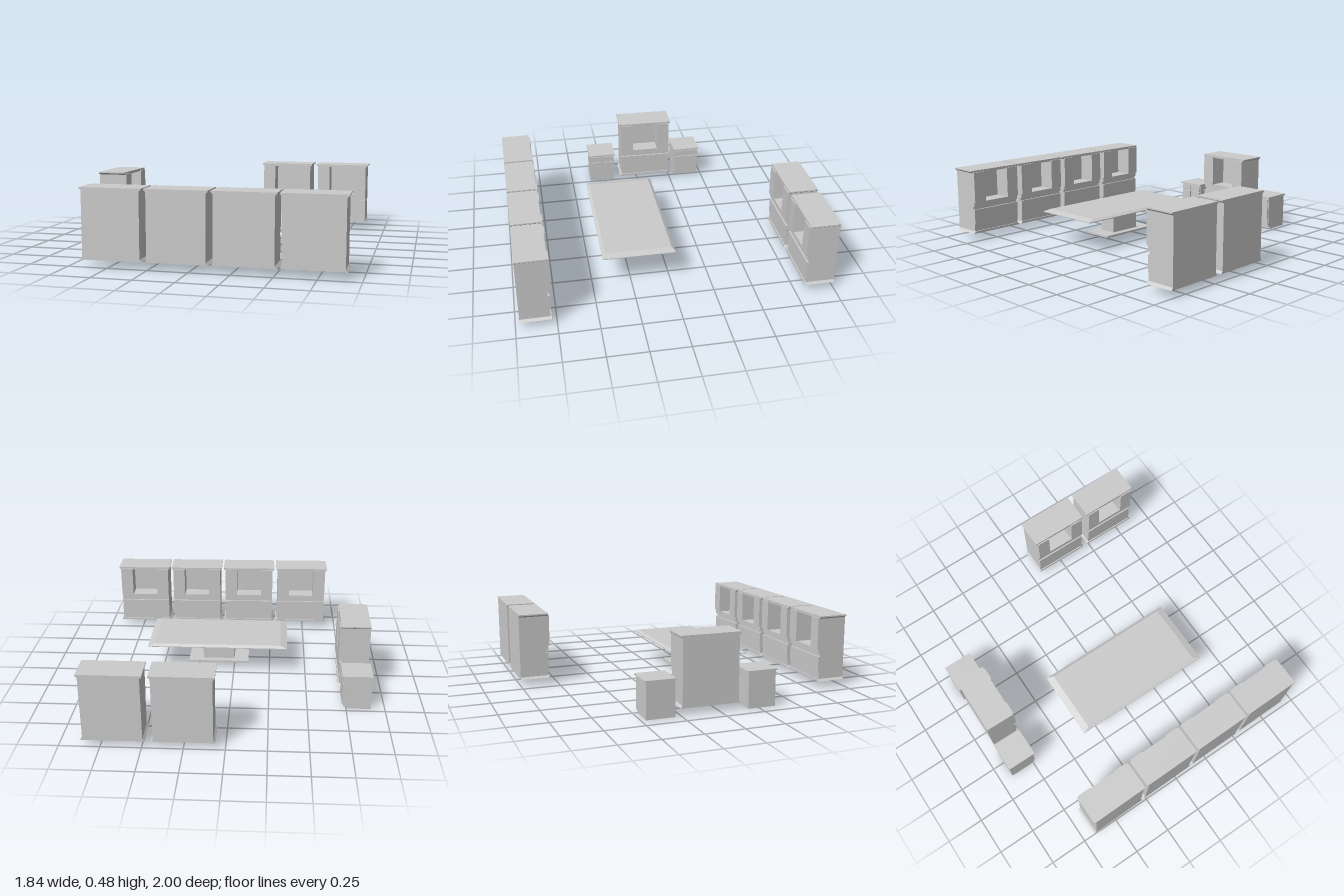
import * as THREE from 'three';

const material = new THREE.MeshStandardMaterial({ color: 0xcccccc, flatShading: true });

function add(parent, name, geometry) {
  const mesh = new THREE.Mesh(geometry, material);
  mesh.name = name;
  parent.add(mesh);
  return mesh;
}

// Box given by its min and max on each axis
function block(parent, name, [x0, x1], [y0, y1], [z0, z1]) {
  add(parent, name, new THREE.BoxGeometry(x1 - x0, y1 - y0, z1 - z0))
    .position.set((x0 + x1) / 2, (y0 + y1) / 2, (z0 + z1) / 2);
}

// Polygon in the xy plane, extruded from z0 to z1
function extrude(points, z0, z1) {
  const shape = new THREE.Shape(points.map(([x, y]) => new THREE.Vector2(x, y)));
  return new THREE.ExtrudeGeometry(shape, { depth: z1 - z0, bevelEnabled: false }).translate(0, 0, z0);
}

// Slab whose two ends slope from half-width w0 at y0 to w1 at y1
function flare(parent, name, w0, y0, w1, y1, z0, z1) {
  add(parent, name, extrude([[-w0, y0], [w0, y0], [w1, y1], [-w1, y1]], z0, z1));
}

// Tall cabinet facing +z: open niche between two doors, drawers below
function tallCabinet(name) {
  const g = new THREE.Group();
  g.name = name;
  const w = 0.18;
  flare(g, 'baseSkirt', 0.193, 0.045, w, 0.06, -0.1, 0.092);

  // Stepped drawer front, drawn as (z, y) and extruded across the width
  const profile = [[-0.1, 0.06], [0.084, 0.06], [0.084, 0.11], [0.09, 0.11], [0.09, 0.21],
    [0.078, 0.21], [0.078, 0.23], [0.09, 0.23], [0.09, 0.26], [-0.1, 0.26]];
  const drawers = extrude(profile, -w, w).rotateY(-Math.PI / 2);
  add(g, 'drawerBody', drawers);

  block(g, 'nicheBack', [-w, w], [0.26, 0.47], [-0.1, -0.02]);
  for (const s of [-1, 1]) {
    const x = [s * 0.0925, s * w].sort((a, b) => a - b);
    block(g, 'sideDoor', x, [0.26, 0.468], [-0.02, 0.1]);
  }
  flare(g, 'cornice', w, 0.462, 0.193, 0.472, -0.1, 0.092);
  block(g, 'topBoard', [-0.193, 0.193], [0.472, 0.48], [-0.1, 0.092]);
  return g;
}

// Low cupboard facing +z, with two doors and a toe kick
function lowCupboard(name) {
  const g = new THREE.Group();
  g.name = name;
  block(g, 'toeKick', [-0.09, 0.09], [0, 0.017], [-0.095, 0.06]);
  block(g, 'body', [-0.09, 0.09], [0.017, 0.226], [-0.095, 0.083]);
  for (const s of [-1, 1]) {
    const x = [s * 0.008, s * 0.084].sort((a, b) => a - b);
    block(g, 'door', x, [0.03, 0.17], [0.083, 0.092]);
    block(g, 'upperPanel', x, [0.178, 0.215], [0.083, 0.09]);
  }
  block(g, 'topBoard', [-0.098, 0.098], [0.226, 0.235], [-0.098, 0.098]);
  return g;
}

// Table with a chamfered top on a central pedestal
function table() {
  const g = new THREE.Group();
  g.name = 'table';
  block(g, 'foot', [-0.21, 0.21], [0.03, 0.043], [-0.105, 0.105]);
  block(g, 'pedestal', [-0.11, 0.11], [0.043, 0.204], [-0.06, 0.06]);
  block(g, 'topEdge', [-0.48, 0.48], [0.202, 0.207], [-0.233, 0.233]);
  const top = new THREE.BoxGeometry(0.96, 0.013, 0.466);
  const p = top.attributes.position;
  for (let i = 0; i < p.count; i++) {
    if (p.getY(i) > 0) p.setXYZ(i, p.getX(i) * 0.435 / 0.48, p.getY(i), p.getZ(i) * 0.213 / 0.233);
  }
  top.computeVertexNormals();
  add(g, 'tableTop', top).position.y = 0.2135;
  return g;
}

export function createModel() {
  const model = new THREE.Group();
  model.name = 'furnitureSet';
  const place = (part, x, z, turn) => {
    part.position.set(x, 0, z);
    part.rotation.y = turn;
    model.add(part);
  };

  // Slightly turned row of four, facing the table
  for (let i = 0; i < 4; i++) {
    place(tallCabinet('frontRowCabinet'), -0.479 + i * 0.401, 0.897 - i * 0.0073, Math.PI + 0.015);
  }
  // Pair opposite the row
  for (const x of [0.251, 0.672]) place(tallCabinet('backCabinet'), x, -0.9, 0);

  // Side group: tall cabinet between two low cupboards
  place(tallCabinet('sideCabinet'), -0.807, -0.06, Math.PI / 2 - 0.014);
  place(lowCupboard('sideCupboardFront'), -0.821, 0.27, Math.PI / 2);
  place(lowCupboard('sideCupboardBack'), -0.815, -0.38, Math.PI / 2);

  place(table(), 0.11, 0.198, 0);
  return model;
}
